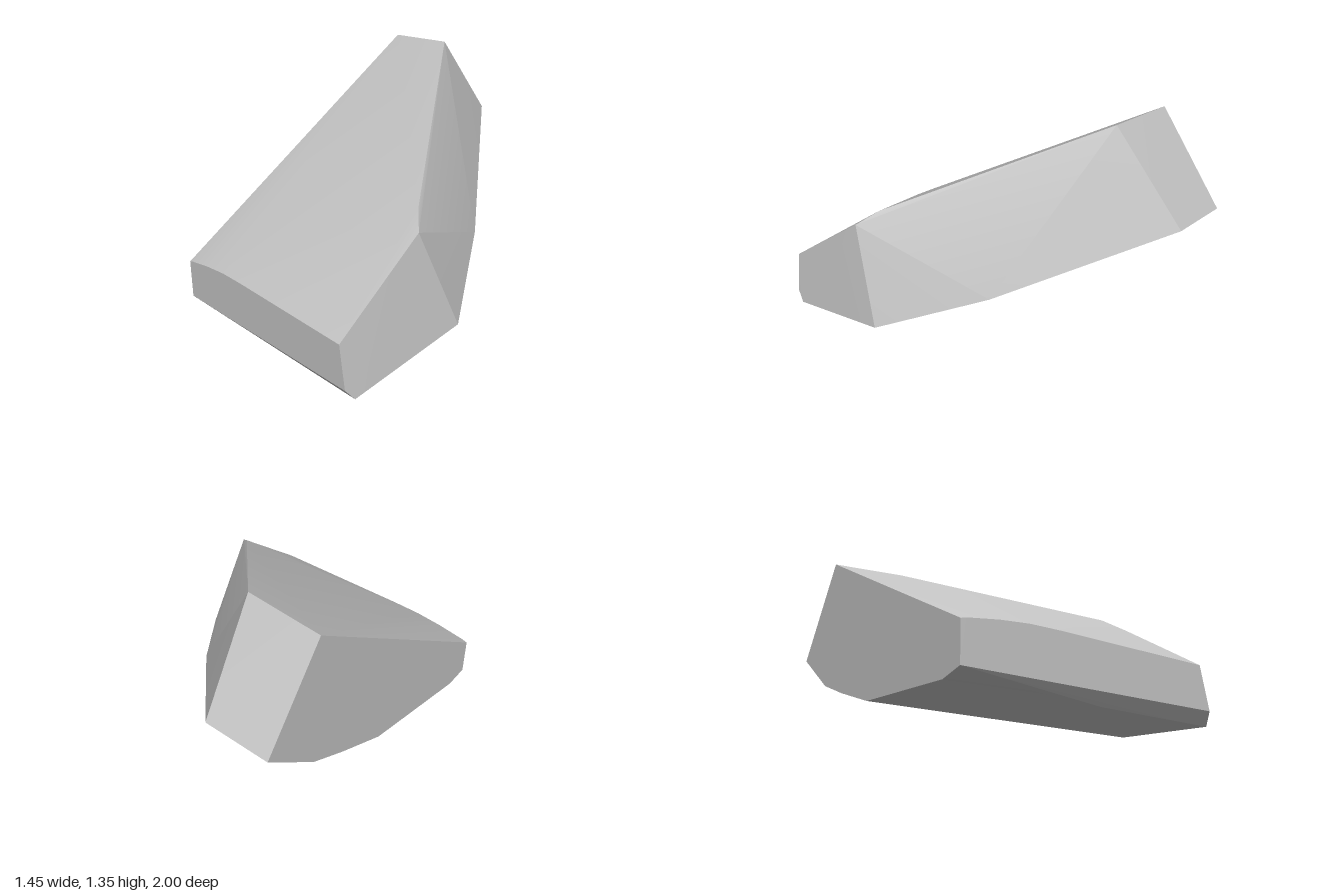
import * as THREE from 'three';
import { ConvexGeometry } from 'three/addons/geometries/ConvexGeometry.js';
import { toCreasedNormals } from 'three/addons/utils/BufferGeometryUtils.js';

const points = (rows) => rows.map(([x, y, z]) => new THREE.Vector3(x, y, z));

export function createModel() {
  const group = new THREE.Group();
  const stone = new THREE.MeshStandardMaterial({ color: 0xc0c0c0 });
  stone.name = 'light grey stone';

  // Flat left wall: underside curve, from the front to the back
  const leftWall = [[1, 0.02], [0.84, 0.013], [0, 0.2], [-0.36, 0.37], [-0.63, 0.51], [-1, 0.81]]
    .map(([z, y]) => [-0.73, y, z]);

  // Front face: slightly bowed upper edge and sloping lower edge
  const frontFace = [[-0.73, 0.245], [-0.7, 0.255], [-0.53, 0.287], [-0.37, 0.307],
    [-0.2, 0.314], [0.65, 0.33], [0.685, 0.087]].map(([x, y]) => [x, y, 1]);

  // Sloping top: back ridge and the right-hand corner
  const topFace = [[-0.73, 1.31, -0.605], [-0.29, 1.35, -0.59], [0.53, 0.82, 0.38], [0.63, 0.74, 0.47]];

  // Lower rim of the slanted back-right side and the right side
  const lowerRim = [[-0.35, 0.84, -1], [0.33, 0.41, -0.25], [0.72, 0.18, 0.27], [0.7, 0.024, 0.95]];

  // Lowest line of the underside, behind the front chamfer
  const keel = [[-0.3, 0.003, 0.95], [0.05, 0, 0.95]];

  // The block is the convex body through all of these corners
  const hull = new ConvexGeometry(points([...leftWall, ...frontFace, ...topFace, ...lowerRim, ...keel]));
  const block = new THREE.Mesh(toCreasedNormals(hull, 0.3), stone);
  block.name = 'facetedBlock';
  group.add(block);
  return group;
}
